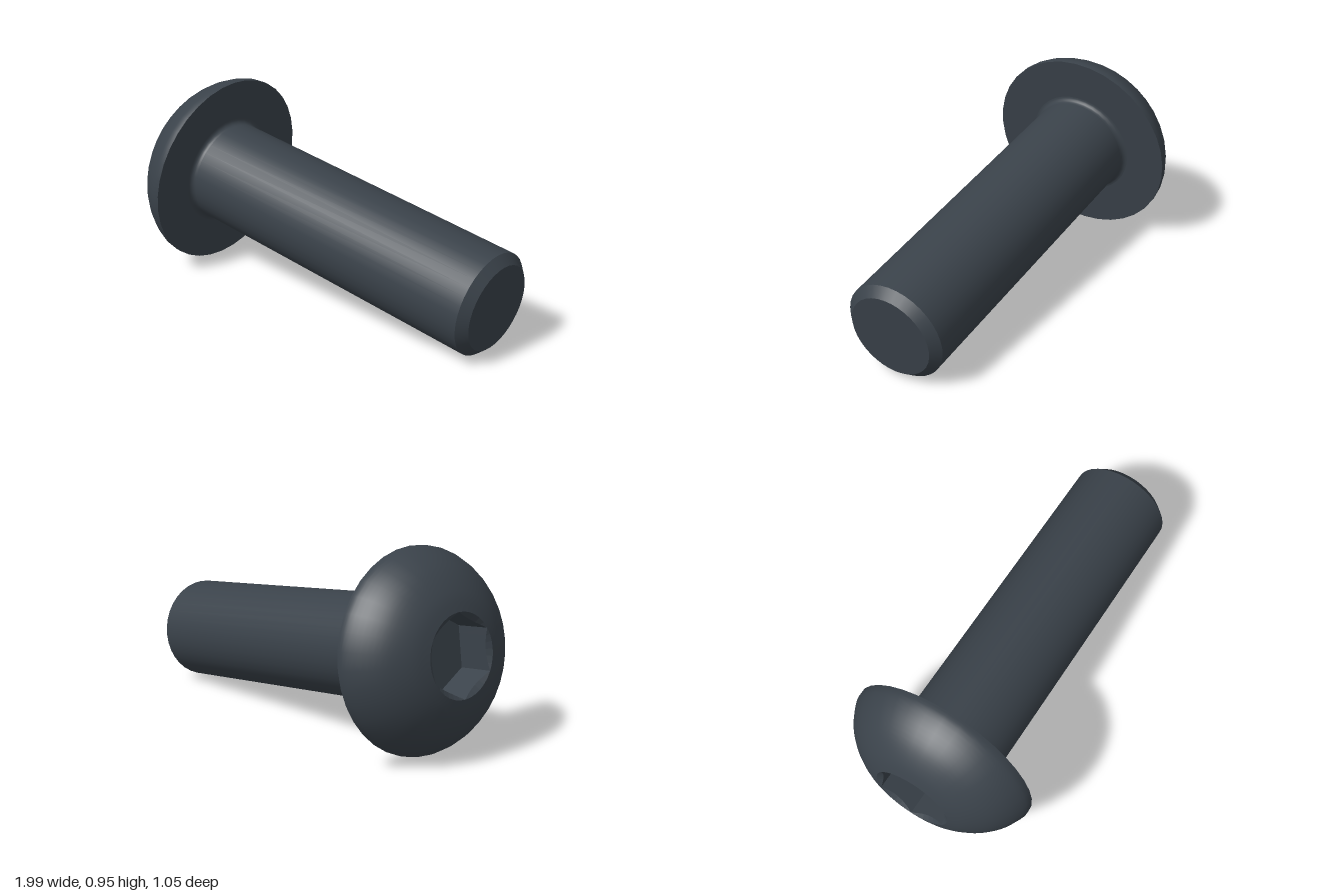
import * as THREE from 'three';

const SEG = 36;
const SHAFT_R = 0.25, HEAD_R = 0.476, HEAD_H = 0.276, LENGTH = 1.678;
const CHAMFER = 0.042, FILLET = 0.025;
const HEX_APOTHEM = 0.1675, HEX_CORNER = 0.1935, HEX_DEPTH = 0.174;

const steel = new THREE.MeshStandardMaterial({ color: 0x3a424a });
steel.name = 'dark steel';

// Turned part: profile of [radius, height] pairs, running up the outside
function turned(name, profile) {
  const pts = profile.map(([r, h]) => new THREE.Vector2(r, h));
  const mesh = new THREE.Mesh(new THREE.LatheGeometry(pts, SEG), steel);
  mesh.name = name;
  return mesh;
}

// Hex socket: a turned cup whose rings are pushed onto a hexagon
function socket() {
  const floor = HEAD_H - HEX_DEPTH;
  const pts = [[HEX_CORNER, HEAD_H], [1, HEAD_H], [1, floor], [0, floor]]
    .map(([r, h]) => new THREE.Vector2(r, h));
  const geo = new THREE.LatheGeometry(pts, SEG);
  const pos = geo.attributes.position;
  for (let i = 0; i < pos.count; i++) {
    const ring = i % 4;
    if (ring !== 1 && ring !== 2) continue;
    const phi = Math.floor(i / 4) * 2 * Math.PI / SEG;
    const side = Math.PI / 3;
    const r = HEX_APOTHEM / Math.cos(phi - Math.round(phi / side) * side);
    // countersink dips deeper at the middle of each flat
    const y = ring === 1 ? HEAD_H - (HEX_CORNER - r) * 0.7 : floor;
    pos.setXYZ(i, r * Math.sin(phi), y, r * Math.cos(phi));
  }
  const flat = geo.toNonIndexed();
  flat.computeVertexNormals();
  const mesh = new THREE.Mesh(flat, steel);
  mesh.name = 'hexSocket';
  return mesh;
}

export function createModel() {
  const bolt = new THREE.Group();
  bolt.name = 'buttonHeadBolt';

  // Shaft with chamfered tip
  bolt.add(turned('shaftTip', [[0, -LENGTH], [SHAFT_R - CHAMFER, -LENGTH]]));
  bolt.add(turned('tipChamfer', [[SHAFT_R - CHAMFER, -LENGTH], [SHAFT_R, -LENGTH + CHAMFER]]));
  bolt.add(turned('shaft', [[SHAFT_R, -LENGTH + CHAMFER], [SHAFT_R, -FILLET]]));

  // Small fillet under the head
  const fillet = [];
  for (let i = 0; i <= 5; i++) {
    const a = i / 5 * Math.PI / 2;
    fillet.push([SHAFT_R + FILLET * (1 - Math.cos(a)), -FILLET * (1 - Math.sin(a))]);
  }
  bolt.add(turned('neckFillet', fillet));
  bolt.add(turned('headUnderside', [[SHAFT_R + FILLET, 0], [HEAD_R, 0]]));

  // Domed head
  const dome = new THREE.SplineCurve([
    [HEAD_R, 0], [0.472, 0.04], [0.44, 0.107], [0.39, 0.17],
    [0.33, 0.218], [0.26, 0.256], [HEX_CORNER, HEAD_H],
  ].map(([r, h]) => new THREE.Vector2(r, h)));
  bolt.add(turned('headDome', dome.getPoints(18).map((p) => [p.x, p.y])));
  bolt.add(socket());

  // Lay the bolt over: head up and back to one side, tip low and forward
  const axis = new THREE.Vector3(-0.969, 0.135, -0.2055).normalize();
  const up = new THREE.Vector3(0, 1, 0).addScaledVector(axis, -axis.y).normalize();
  const across = new THREE.Vector3().crossVectors(up, axis);
  bolt.quaternion.setFromRotationMatrix(new THREE.Matrix4().makeBasis(up, axis, across));
  bolt.position.set(-0.677, 0.472, -0.056);

  const model = new THREE.Group();
  model.name = 'bolt';
  model.add(bolt);
  return model;
}
